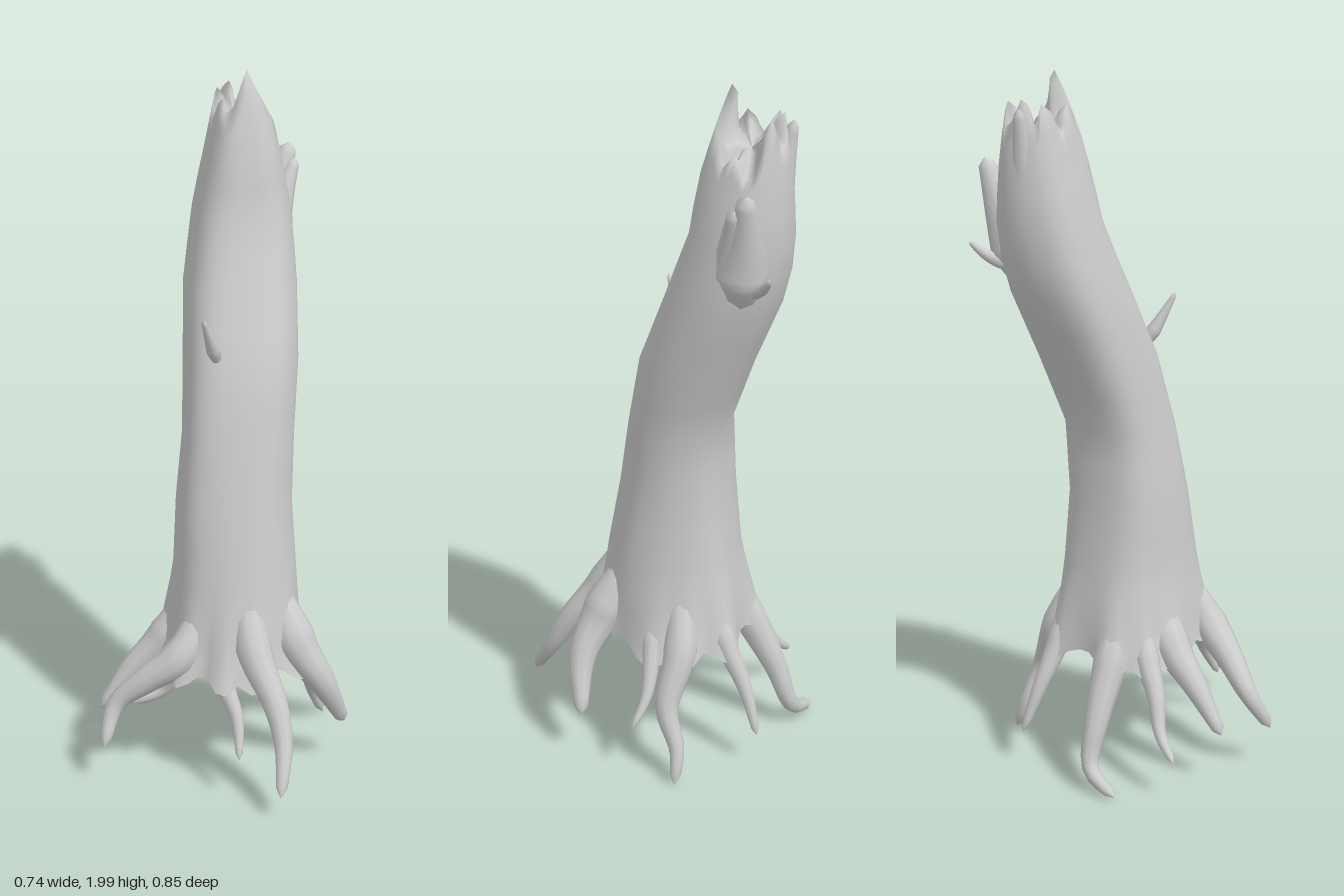
import * as THREE from 'three';
import { mergeVertices } from 'three/addons/utils/BufferGeometryUtils.js';

const V = (p) => new THREE.Vector3(...p);
const mat = new THREE.MeshStandardMaterial({ color: 0xcccccc, side: THREE.DoubleSide });

// Trunk extents by height: y, right x, left x, back z, front z
const SECTIONS = [
  [0.30, -0.16, 0.24, -0.25, 0.19], [0.40, -0.145, 0.23, -0.245, 0.175], [0.50, -0.14, 0.225, -0.235, 0.165],
  [0.60, -0.13, 0.22, -0.22, 0.15], [0.80, -0.12, 0.21, -0.20, 0.11], [1.0, -0.097, 0.22, -0.20, 0.072],
  [1.2, -0.08, 0.245, -0.28, 0.025], [1.4, -0.06, 0.26, -0.37, -0.06], [1.5, -0.04, 0.26, -0.40, -0.10],
  [1.6, -0.022, 0.255, -0.412, -0.14], [1.7, 0.0, 0.24, -0.412, -0.155], [1.8, 0.025, 0.22, -0.41, -0.175],
  [1.9, 0.045, 0.2, -0.395, -0.21], [2.0, 0.075, 0.17, -0.37, -0.24],
];
// Jagged rim heights, counted from the left side (+x) through the front
const RIM = [1.84, 1.80, 1.86, 1.88, 1.92, 1.96, 2.0, 1.96, 1.90, 1.88, 1.92, 1.90,
  1.85, 1.91, 1.93, 1.87, 1.93, 1.94, 1.88, 1.86, 1.93, 1.90, 1.80, 1.78];

// Roots: greatest radius, then points from the trunk wall to the tip
const ROOTS = [
  [0.062, [0.05, 0.60, 0.09], [0.06, 0.42, 0.19], [0.10, 0.30, 0.28], [0.11, 0.20, 0.34], [0.085, 0.08, 0.42]],
  [0.075, [0.15, 0.55, 0.06], [0.20, 0.40, 0.12], [0.27, 0.29, 0.145], [0.345, 0.14, 0.11]],
  [0.058, [0.17, 0.52, -0.12], [0.23, 0.36, -0.15], [0.30, 0.21, -0.145], [0.325, 0.10, -0.19], [0.36, 0.01, -0.20]],
  [0.036, [0.19, 0.48, -0.05], [0.25, 0.35, -0.07], [0.31, 0.24, -0.085], [0.365, 0.16, -0.07]],
  [0.062, [-0.07, 0.52, 0.07], [-0.14, 0.39, 0.10], [-0.23, 0.32, 0.085], [-0.32, 0.24, 0.065], [-0.365, 0.13, 0.115]],
  [0.065, [-0.08, 0.50, -0.05], [-0.15, 0.38, -0.07], [-0.25, 0.28, -0.075], [-0.345, 0.16, -0.07]],
  [0.042, [-0.08, 0.48, -0.13], [-0.14, 0.36, -0.16], [-0.20, 0.27, -0.185], [-0.245, 0.18, -0.215], [-0.315, 0.12, -0.235]],
  [0.06, [-0.03, 0.52, -0.15], [-0.06, 0.36, -0.22], [-0.08, 0.20, -0.30], [-0.10, 0.07, -0.345], [-0.205, 0.02, -0.355]],
  [0.042, [0.12, 0.50, -0.19], [0.13, 0.37, -0.24], [0.14, 0.24, -0.31], [0.16, 0.11, -0.36]],
  [0.038, [-0.03, 0.46, 0.12], [-0.025, 0.33, 0.18], [0.0, 0.24, 0.23], [-0.005, 0.14, 0.285]],
];

const CENTRE = [0.045, -0.04];
const rootAngles = ROOTS.map(([, , p]) => Math.atan2(p[2] - CENTRE[1], p[0] - CENTRE[0]));

// 0..1, how close an angle is to the nearest root
const lobe = (a) => Math.max(...rootAngles.map((r) => Math.exp(-Math.pow(Math.sin((a - r) / 2) / 0.12, 2))));

// Point on the trunk wall; k shrinks the section towards its middle
function wall(y, a, k = 1) {
  let i = 0;
  while (i < SECTIONS.length - 2 && SECTIONS[i + 1][0] < y) i++;
  const [A, B] = [SECTIONS[i], SECTIONS[i + 1]];
  const t = (y - A[0]) / (B[0] - A[0]);
  const [, x0, x1, z0, z1] = A.map((v, j) => v + (B[j] - v) * t);
  const f = Math.pow(Math.max(0, 0.62 - y) / 0.3, 1.7) * 0.045 * lobe(a);
  const ridge = 1 + 0.02 * Math.sin(a * 5 + y * 1.5);
  const e = (v) => Math.sign(v) * Math.pow(Math.abs(v), 0.88);
  const c = Math.cos(a), s = Math.sin(a);
  return [(x0 + x1) / 2 + k * (e(c) * ridge * (x1 - x0) / 2 + c * f), y,
    (z0 + z1) / 2 + k * (e(s) * ridge * (z1 - z0) / 2 + s * f)];
}

// Hollow trunk: arched lower edge, flared foot, broken rim and a sunken top
function trunkGeometry() {
  const n = 48, rows = [];
  const ring = (fn) => rows.push(Array.from({ length: n }, (_, i) => fn((i / n) * Math.PI * 2, i)));
  const rim = (i) => (i % 2 ? (RIM[(i - 1) / 2] + RIM[((i + 1) / 2) % 24]) / 2 : RIM[i / 2]);
  ring((a) => wall(0.365 - 0.055 * lobe(a), a));
  for (const y of [0.39, 0.43, 0.48, 0.54, 0.6, 0.7, 0.8, 0.9, 1, 1.1, 1.2, 1.3, 1.4, 1.5, 1.6, 1.68]) ring((a) => wall(y, a));
  for (const t of [0.35, 0.7, 1]) ring((a, i) => wall(1.68 + (rim(i) - 1.68) * t, a));
  ring((a, i) => { const p = wall(rim(i), a, 0.72); p[1] -= 0.02; return p; });
  ring((a, i) => { const p = wall(1.88, a, 0.45); p[1] = 1.86 + (rim(i) - 1.88) * 0.3; return p; });
  ring((a) => { const p = wall(1.88, a, 0.02); p[1] = 1.84; return p; });
  const index = [];
  for (let r = 0; r < rows.length - 1; r++) for (let i = 0; i < n; i++) {
    const a = r * n + i, b = r * n + (i + 1) % n;
    index.push(a, a + n, b, b, a + n, b + n);
  }
  const g = new THREE.BufferGeometry();
  g.setAttribute('position', new THREE.Float32BufferAttribute(rows.flat(2), 3));
  g.setIndex(index);
  g.computeVertexNormals();
  return g;
}

// Tapering limb along a smooth path
function limbGeometry(radius, points) {
  const curve = new THREE.CatmullRomCurve3(points.map(V));
  const n = 20, sides = 10;
  let g = new THREE.TubeGeometry(curve, n, 1, sides);
  const pos = g.attributes.position, v = new THREE.Vector3();
  for (let i = 0; i <= n; i++) {
    const t = i / n, c = curve.getPointAt(t);
    const r = i === n ? 0.001 : radius * Math.min(1, 0.4 + 2 * t) * (1 - 0.8 * Math.pow(t, 0.9));
    for (let j = 0; j <= sides; j++) {
      const k = i * (sides + 1) + j;
      v.fromBufferAttribute(pos, k).sub(c).multiplyScalar(r).add(c);
      pos.setXYZ(k, v.x, v.y, v.z);
    }
  }
  g.deleteAttribute('uv');
  g.deleteAttribute('normal');
  g = mergeVertices(g, 1e-5);
  g.computeVertexNormals();
  return g;
}

export function createModel() {
  const model = new THREE.Group();
  model.name = 'deadTree';
  const add = (name, geometry) => {
    const m = new THREE.Mesh(geometry, mat);
    m.name = name;
    model.add(m);
  };
  add('trunk', trunkGeometry());
  ROOTS.forEach(([r, ...pts], i) => add('root' + (i + 1), limbGeometry(r * 1.15, pts)));

  // Broken branch stubs
  add('frontTwig', limbGeometry(0.028, [[0.0, 1.22, -0.03], [-0.025, 1.28, 0.0], [-0.058, 1.37, 0.04]]));
  add('backTwig', limbGeometry(0.03, [[0.19, 1.47, -0.33], [0.235, 1.5, -0.39], [0.265, 1.54, -0.43]]));

  // Splinters of bark torn away on the back left side
  add('largeSplinter', limbGeometry(0.1, [[0.18, 1.42, -0.29], [0.225, 1.6, -0.335], [0.275, 1.76, -0.36]]));
  add('smallSplinter', limbGeometry(0.07, [[0.19, 1.45, -0.27], [0.235, 1.6, -0.30], [0.285, 1.72, -0.33]]));
  add('backSplinter', limbGeometry(0.06, [[0.1, 1.6, -0.35], [0.1, 1.75, -0.375], [0.09, 1.92, -0.405]]));
  return model;
}
